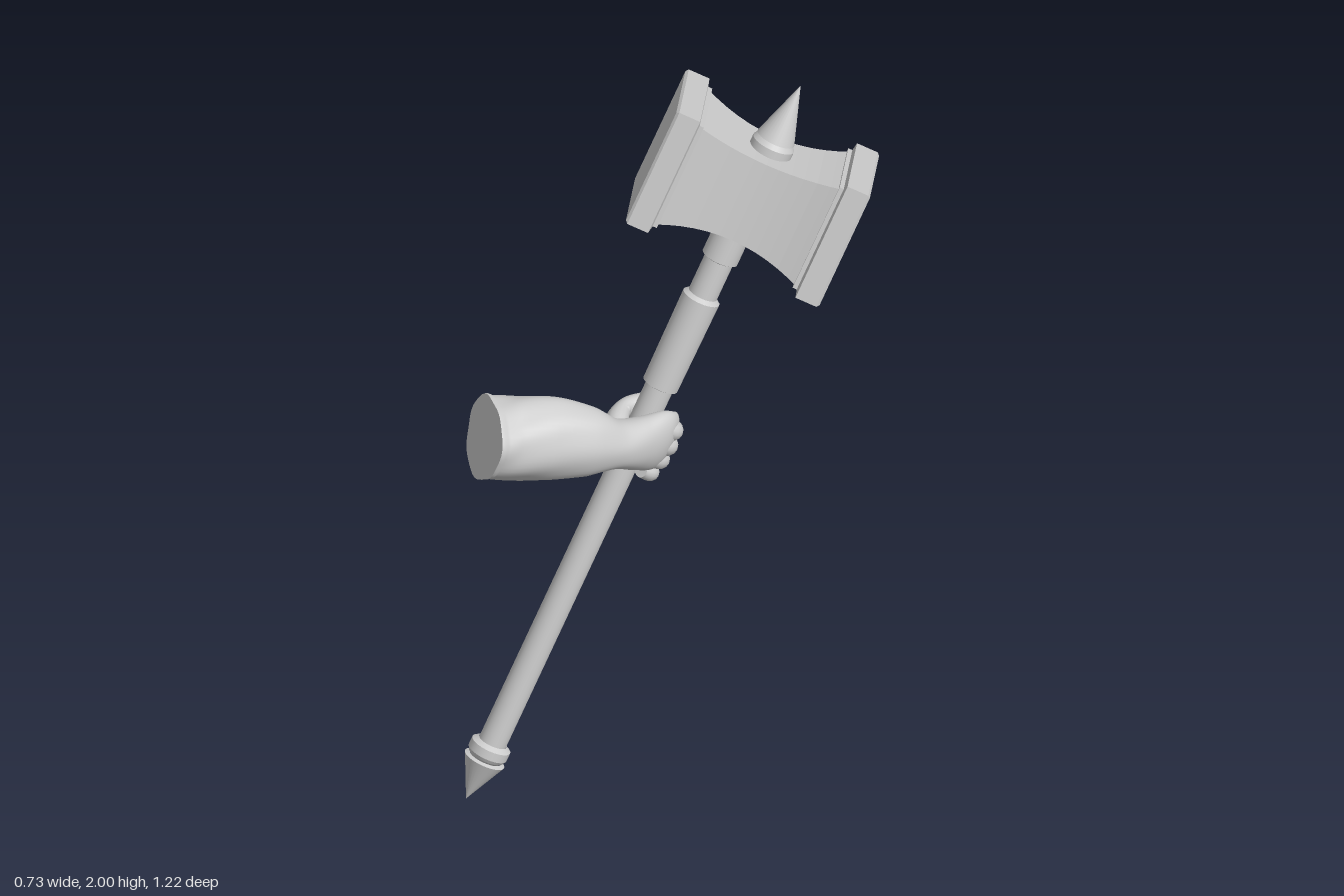
import * as THREE from 'three';

const V = (x, y, z) => new THREE.Vector3(x, y, z);
const smooth = new THREE.MeshStandardMaterial({ color: 0xcccccc });
const faceted = new THREE.MeshStandardMaterial({ color: 0xcccccc, flatShading: true });

// Weapon frame: shaft runs along up, head along across, head's broad side faces out
const foot = V(-0.256, 0, 0.61);
const up = V(0.055, 1.978, -0.417).sub(foot).normalize();
const out = V(0.56, 0.336, 0.756);
out.addScaledVector(up, -out.dot(up)).normalize();
const across = up.clone().cross(out);
const frame = new THREE.Matrix4().makeBasis(across, up, out).setPosition(foot);

function add(parent, name, geometry, material = smooth) {
  const mesh = new THREE.Mesh(geometry, material);
  mesh.name = name;
  parent.add(mesh);
  return mesh;
}

// Turned part with crisp edges: every profile segment is its own band
function turned(parent, name, profile, sides = 28) {
  const group = new THREE.Group();
  group.name = name;
  for (let i = 0; i < profile.length - 1; i++) {
    const pts = [profile[i], profile[i + 1]].map(([r, y]) => new THREE.Vector2(r, y));
    add(group, name + 'Band', new THREE.LatheGeometry(pts, sides));
  }
  parent.add(group);
}

// Square-section part running along x, from [half width, position] pairs
function squareLoft(parent, name, profile) {
  const pts = profile.map(([r, x]) => new THREE.Vector2(r * Math.SQRT2, x));
  const geometry = new THREE.LatheGeometry(pts, 4, Math.PI / 4);
  geometry.rotateZ(-Math.PI / 2);
  return add(parent, name, geometry, faceted);
}

// Organic loft through stations [x, y, z, half width, half height]; capped at both ends
function loft(stations, upDir, rings, sides, relief = () => 1) {
  const path = new THREE.CatmullRomCurve3(stations.map(s => V(s[0], s[1], s[2])));
  const sizes = new THREE.CatmullRomCurve3(stations.map(s => V(s[3], s[4], 0)));
  const pos = [], index = [];
  const steps = [[0, 0], [0, 1]];
  for (let i = 0; i <= rings; i++) steps.push([i / rings, 1]);
  steps.push([1, 0]);
  steps.forEach(([t, scale], i) => {
    const c = path.getPoint(t), size = sizes.getPoint(t), dir = path.getTangent(t);
    const side = dir.clone().cross(upDir).normalize();
    const top = side.clone().cross(dir);
    for (let j = 0; j < sides; j++) {
      const a = (j / sides) * Math.PI * 2, k = scale * relief(t, a);
      const p = c.clone()
        .addScaledVector(side, Math.cos(a) * size.x * k)
        .addScaledVector(top, Math.sin(a) * size.y * k);
      pos.push(p.x, p.y, p.z);
      if (i < steps.length - 1) {
        const n = (j + 1) % sides, A = i * sides + j, B = i * sides + n;
        index.push(A, A + sides, B, B, A + sides, B + sides);
      }
    }
  });
  const geometry = new THREE.BufferGeometry();
  geometry.setAttribute('position', new THREE.Float32BufferAttribute(pos, 3));
  geometry.setIndex(index);
  geometry.computeVertexNormals();
  return geometry;
}

function buildHammer() {
  const hammer = new THREE.Group();
  hammer.name = 'hammer';

  // Shaft with pommel spike, grip sleeve and neck collar
  turned(hammer, 'pommelSpike', [[0, 0], [0.058, 0.125], [0.046, 0.13]]);
  turned(hammer, 'pommelCollar', [[0.04, 0.125], [0.05, 0.135], [0.056, 0.145], [0.056, 0.17], [0.04, 0.18]]);
  turned(hammer, 'shaft', [[0.039, 0.12], [0.039, 1.32]]);
  turned(hammer, 'gripSleeve', [[0.038, 1.3], [0.05, 1.305], [0.053, 1.58], [0.041, 1.59]]);
  turned(hammer, 'neck', [[0.041, 1.58], [0.041, 1.72]]);
  turned(hammer, 'neckCollar', [[0.04, 1.7], [0.051, 1.705], [0.051, 1.83]]);

  // Head: waisted square body between two chamfered end plates
  const head = new THREE.Group();
  head.name = 'head';
  head.position.y = 1.923;
  hammer.add(head);
  const waist = [];
  for (let i = -6; i <= 6; i++) {
    const s = i / 6;
    waist.push([0.118 + 0.037 * s * s, s * 0.215]);
  }
  squareLoft(head, 'headBody', waist);
  const plate = [[0, 0.2], [0.158, 0.2], [0.158, 0.212], [0.175, 0.217],
    [0.175, 0.278], [0.169, 0.285], [0, 0.285]];
  squareLoft(head, 'leftPlate', plate);
  squareLoft(head, 'rightPlate', plate).rotation.y = Math.PI;

  // Top spike
  turned(hammer, 'spikeCollar', [[0.05, 2.02], [0.06, 2.03], [0.06, 2.065], [0.05, 2.08]]);
  turned(hammer, 'topSpike', [[0.04, 2.075], [0.054, 2.08], [0, 2.247]]);
  return hammer;
}

function buildArm() {
  const arm = new THREE.Group();
  arm.name = 'arm';

  // Forearm, wrist and back of the hand, with soft twisting muscle ridges
  const stations = [
    [-0.272, 1.16, 0.515, 0.115, 0.11],
    [-0.235, 1.14, 0.455, 0.108, 0.115],
    [-0.175, 1.125, 0.375, 0.098, 0.116],
    [-0.11, 1.095, 0.285, 0.084, 0.098],
    [-0.072, 1.06, 0.205, 0.068, 0.068],
    [-0.05, 1.035, 0.14, 0.056, 0.078],
    [-0.035, 1.015, 0.075, 0.042, 0.09],
    [-0.04, 1.0, 0.025, 0.026, 0.074],
  ];
  const relief = (t, a) => {
    const fade = Math.max(0, 1 - t * 1.15);
    const rim = t < 0.03 ? 0.04 : 0;
    return 1 + rim + fade * (0.045 * Math.sin(3 * a + 5 * t + 1) + 0.022 * Math.sin(7 * a - 12 * t));
  };
  add(arm, 'forearmAndPalm', loft(stations, up, 60, 48, relief));

  // Thumb on the far side of the shaft
  const thumb = [
    [-0.085, 1.045, 0.19, 0.03, 0.035],
    [-0.13, 1.06, 0.135, 0.032, 0.034],
    [-0.152, 1.065, 0.075, 0.024, 0.026],
    [-0.135, 1.063, 0.02, 0.024, 0.024],
    [-0.11, 1.06, -0.005, 0.01, 0.01],
  ];
  add(arm, 'thumb', loft(thumb, up, 24, 16));

  // Four fingers wrapped round the shaft: [angle in degrees, radius, thickness]
  const fingers = new THREE.Group();
  fingers.name = 'fingers';
  const bends = [[40, 0.07, 0.022], [5, 0.084, 0.027], [-25, 0.083, 0.025], [-60, 0.073, 0.024],
    [-95, 0.073, 0.025], [-130, 0.062, 0.022], [-165, 0.058, 0.021], [-185, 0.054, 0.009]];
  for (let i = 0; i < 4; i++) {
    const size = [0.9, 1, 1.04, 1][i];
    const curl = bends.map(([deg, r, thick]) => {
      const a = THREE.MathUtils.degToRad(deg);
      const y = 1.065 + i * 0.045 + 0.012 * Math.sin(a);
      return [Math.cos(a) * r * size, y, Math.sin(a) * r * size, thick * size, thick * size];
    });
    add(fingers, 'finger' + (i + 1), loft(curl, V(0, 1, 0), 32, 14));
  }
  fingers.applyMatrix4(frame);
  arm.add(fingers);
  return arm;
}

export function createModel() {
  const model = new THREE.Group();
  model.name = 'handHoldingHammer';
  const hammer = buildHammer();
  hammer.applyMatrix4(frame);
  model.add(hammer, buildArm());
  return model;
}
